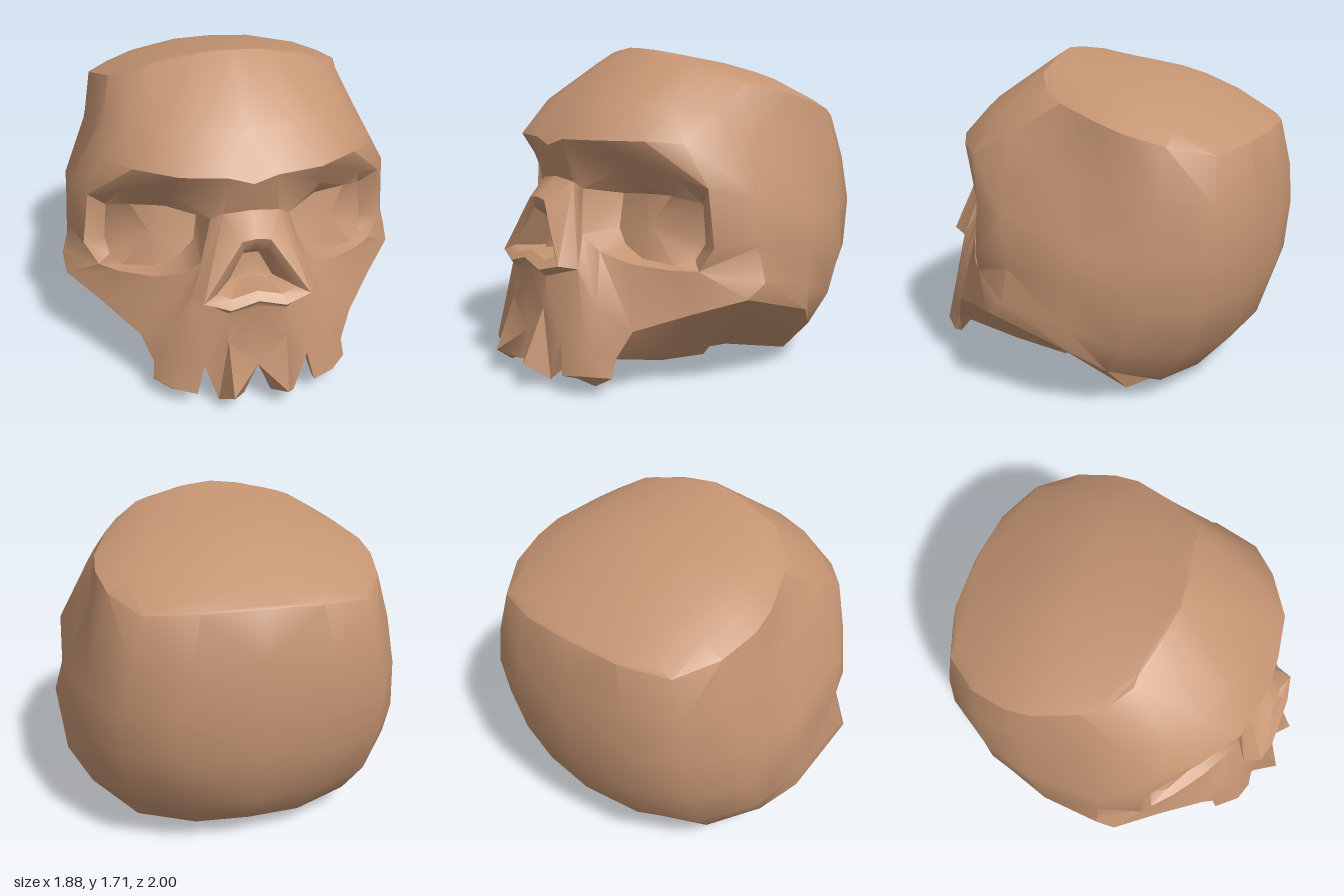
import * as THREE from 'three';
import { toCreasedNormals } from 'three/addons/utils/BufferGeometryUtils.js';

const V = (rows) => rows.map((p) => new THREE.Vector3(...p));
const close = (ring) => [...ring, ring[0]];

// Profile height of the crown along the middle, by z
const crownProfile = [[-0.93, 1.36], [-0.6, 1.54], [-0.35, 1.63], [0.22, 1.71]];
function crownHeight(z) {
  for (let i = 1; i < crownProfile.length; i++) {
    const [z0, y0] = crownProfile[i - 1], [z1, y1] = crownProfile[i];
    if (z <= z1 + 1e-6) return y0 + ((y1 - y0) * (z - z0)) / (z1 - z0);
  }
  return 1.71;
}

export function createModel() {
  const bone = new THREE.MeshStandardMaterial({ color: 0xc49472, side: THREE.DoubleSide });
  bone.name = 'bone';

  const positions = [];
  const ranges = [];

  // Adds a triangle and its mirror image, leaving out collapsed ones
  function tri(a, b, c) {
    const area = b.clone().sub(a).cross(c.clone().sub(a)).length();
    if (area < 1e-7) return;
    for (const p of [a, b, c]) positions.push(p.x, p.y, p.z);
    for (const p of [a, c, b]) positions.push(-p.x, p.y, p.z);
  }

  // Skins a list of rows; rows run downward or inward, columns clockwise
  function loft(rows) {
    for (let r = 0; r + 1 < rows.length; r++) {
      for (let c = 0; c + 1 < rows[r].length; c++) {
        const a = rows[r][c], b = rows[r + 1][c], d = rows[r][c + 1], e = rows[r + 1][c + 1];
        tri(a, b, e);
        tri(a, e, d);
      }
    }
  }

  function fan(row, centre) {
    loft([row, row.map(() => centre)]);
  }

  function part(name, build) {
    const start = positions.length;
    build();
    ranges.push([name, start, positions.length]);
  }

  // Half rings of the braincase, from the middle of the front to the middle of the back
  const crown = V([[0, 1.71, 0.22], [0.2, 1.685, 0.2], [0.43, 1.63, 0.15], [0.55, 1.565, 0.06], [0.62, 1.525, -0.05],
    [0.7, 1.47, -0.28], [0.71, 1.43, -0.42], [0.67, 1.38, -0.62], [0.54, 1.33, -0.82], [0.29, 1.35, -0.91], [0, 1.36, -0.93]]);
  const forehead = V([[0, 1.43, 0.6], [0.2, 1.44, 0.57], [0.4, 1.43, 0.5], [0.56, 1.4, 0.38], [0.67, 1.36, 0.2],
    [0.715, 1.24, -0.02], [0.755, 1.18, -0.38], [0.74, 1.15, -0.62], [0.6, 1.1, -0.85], [0.34, 1.1, -0.96], [0, 1.12, -0.97]]);
  const brow = V([[0, 1.21, 0.75], [0.12, 1.245, 0.74], [0.35, 1.25, 0.7], [0.56, 1.25, 0.56], [0.69, 1.24, 0.42],
    [0.88, 1, 0.15], [0.89, 0.88, -0.28], [0.81, 0.87, -0.58], [0.65, 0.86, -0.85], [0.39, 0.87, -0.967], [0, 0.9, -1]]);
  // Lower rings run from the cheekbone to the middle of the back
  const side = V([[0.89, 0.74, 0.12], [0.9, 0.7, -0.25], [0.82, 0.62, -0.58], [0.66, 0.6, -0.81], [0.37, 0.6, -0.95], [0, 0.64, -0.99]]);
  const cheek = V([[0.94, 0.57, 0.12], [0.915, 0.5, -0.22], [0.83, 0.4, -0.48], [0.62, 0.34, -0.73], [0.32, 0.32, -0.86], [0, 0.34, -0.91]]);
  const ridge = V([[0.925, 0.5, 0.22], [0.9, 0.37, -0.22], [0.785, 0.24, -0.38], [0.57, 0.13, -0.58], [0.28, 0.1, -0.68], [0, 0.1, -0.7]]);
  const nape = V([[0.59, 0.05, -0.4], [0.42, 0.03, -0.46], [0.22, 0.005, -0.5], [0, 0.015, -0.5]]);

  part('cranium', () => {
    const cap = [0, 0.3, 0.65, 0.85, 1].map((t) => crown.map((p) => {
      const mid = crownHeight(p.z);
      return new THREE.Vector3(p.x * t, t === 1 ? p.y : mid + (p.y - mid) * t ** 2.4, p.z);
    }));
    loft(cap);
    loft([crown, forehead, brow]);
    loft([brow.slice(5), side, cheek, ridge]);
    loft([ridge.slice(2), nape]);
  });

  // Eye socket rim and sunken floor, clockwise from the upper inner corner
  const rim = V([[0.2, 1.0, 0.67], [0.38, 1.1, 0.58], [0.63, 1.09, 0.45], [0.78, 1.03, 0.35], [0.82, 0.75, 0.345],
    [0.75, 0.63, 0.38], [0.65, 0.63, 0.47], [0.48, 0.65, 0.59], [0.34, 0.7, 0.67], [0.25, 0.78, 0.71]]);
  const floor = V([[0.23, 0.96, 0.44], [0.4, 0.975, 0.44], [0.57, 0.98, 0.4], [0.69, 0.94, 0.3], [0.71, 0.75, 0.3],
    [0.69, 0.67, 0.35], [0.63, 0.645, 0.43], [0.48, 0.665, 0.51], [0.34, 0.715, 0.51], [0.26, 0.79, 0.49]]);

  part('eyeSockets', () => {
    loft([close(rim), close(floor)]);
    fan(close(floor), new THREE.Vector3(0.48, 0.83, 0.46));
  });

  // Nose: base, raised rim, opening and recess, from top middle to bottom middle
  const noseBase = V([[0, 1.045, 0.7], [0.14, 1.03, 0.69], [0.31, 0.62, 0.78], [0.15, 0.57, 0.865], [0, 0.6, 0.875]]);
  part('nose', () => {
    const noseRim = V([[0, 0.95, 0.82], [0.07, 0.94, 0.82], [0.27, 0.64, 0.87], [0.14, 0.605, 0.9], [0, 0.645, 0.9]]);
    const opening = V([[0, 0.885, 0.8], [0.06, 0.885, 0.8], [0.2, 0.67, 0.84], [0.13, 0.645, 0.86], [0, 0.68, 0.86]]);
    const recess = V([[0, 0.8, 0.69], [0.04, 0.8, 0.69], [0.11, 0.67, 0.71], [0.08, 0.66, 0.72], [0, 0.68, 0.72]]);
    loft([noseBase, noseRim, opening, recess]);
    fan(recess, new THREE.Vector3(0, 0.73, 0.7));
  });

  // Lower edge of the cheek, and the upper jaw down to the tooth roots
  const jawCorner = new THREE.Vector3(0.57, 0.34, 0.64);
  const cheekEdge = new THREE.Vector3(0.75, 0.425, 0.42);
  const muzzle = new THREE.Vector3(0.42, 0.44, 0.75);
  const roots = V([[0, 0.26, 0.9], [0.15, 0.41, 0.885], [0.27, 0.26, 0.86], [0.42, 0.25, 0.81], [0.51, 0.2, 0.7]]);
  const gum = [0, 0.15, 0.25, 0.38, 0.5].map((x) => new THREE.Vector3(x, 0.2, 0.78 - 0.18 * x));

  part('face', () => {
    loft([brow.slice(0, 2), noseBase.slice(0, 2)]);
    // Surface around each socket
    const around = [...brow.slice(1, 6), side[0], cheek[0], ridge[0], cheekEdge, jawCorner, muzzle, noseBase[2], noseBase[1]];
    const inner = [0, 1, 2, 3, 3, 4, 5, 5, 6, 7, 8, 9, 0].map((i) => rim[i]);
    loft([close(around), close(inner)]);
    loft([[noseBase[4], noseBase[3], noseBase[2], muzzle, jawCorner], roots, gum]);
  });

  // Underside, from the cheek edge in to the palate and its middle line
  part('skullBase', () => {
    const edge = [jawCorner, cheekEdge, ridge[0], ridge[1], ridge[2]];
    const hollow = [roots[4], ...V([[0.5, 0.15, 0.38], [0.5, 0.13, 0.08], [0.52, 0.13, -0.02]]), nape[0]];
    const palate = [gum[4], ...V([[0.44, 0.1, 0.36], [0.42, 0.06, 0.05], [0.42, 0.12, 0]]), nape[1]];
    const middle = [gum[0], ...V([[0, 0.1, 0.36], [0, 0.06, 0.05], [0, 0.12, 0]]), nape[3]];
    loft([edge, hollow, palate, middle]);
  });

  // Two teeth a side: root ring and tip ring, each inner, ridge, outer, then the two back corners
  part('teeth', () => {
    const teeth = [
      [[roots[0], roots[1], roots[2], ...V([[0.24, 0.22, 0.74], [0.03, 0.22, 0.76]])],
        V([[0.07, 0.09, 0.9], [0.14, 0.14, 1], [0.2, 0.05, 0.88], [0.17, 0.07, 0.8], [0.08, 0.08, 0.82]])],
      [[roots[2], roots[3], roots[4], ...V([[0.46, 0.21, 0.62], [0.28, 0.21, 0.72]])],
        V([[0.31, 0.1, 0.88], [0.42, 0.12, 0.845], [0.52, 0.11, 0.73], [0.42, 0.05, 0.76], [0.32, 0.07, 0.8]])],
    ];
    for (const [root, tip] of teeth) {
      loft([close(root), close(tip)]);
      const centre = tip.reduce((s, p) => s.add(p), new THREE.Vector3()).divideScalar(tip.length);
      fan(close(tip), centre);
    }
  });

  // Shade the whole skin together so that the parts meet without seams, then split it
  let skin = new THREE.BufferGeometry();
  skin.setAttribute('position', new THREE.Float32BufferAttribute(positions, 3));
  skin = toCreasedNormals(skin, 0.68);

  const group = new THREE.Group();
  group.name = 'skull';
  for (const [name, start, end] of ranges) {
    const geometry = new THREE.BufferGeometry();
    for (const key of ['position', 'normal']) {
      geometry.setAttribute(key, new THREE.BufferAttribute(skin.getAttribute(key).array.slice(start, end), 3));
    }
    const mesh = new THREE.Mesh(geometry, bone);
    mesh.name = name;
    group.add(mesh);
  }
  return group;
}
